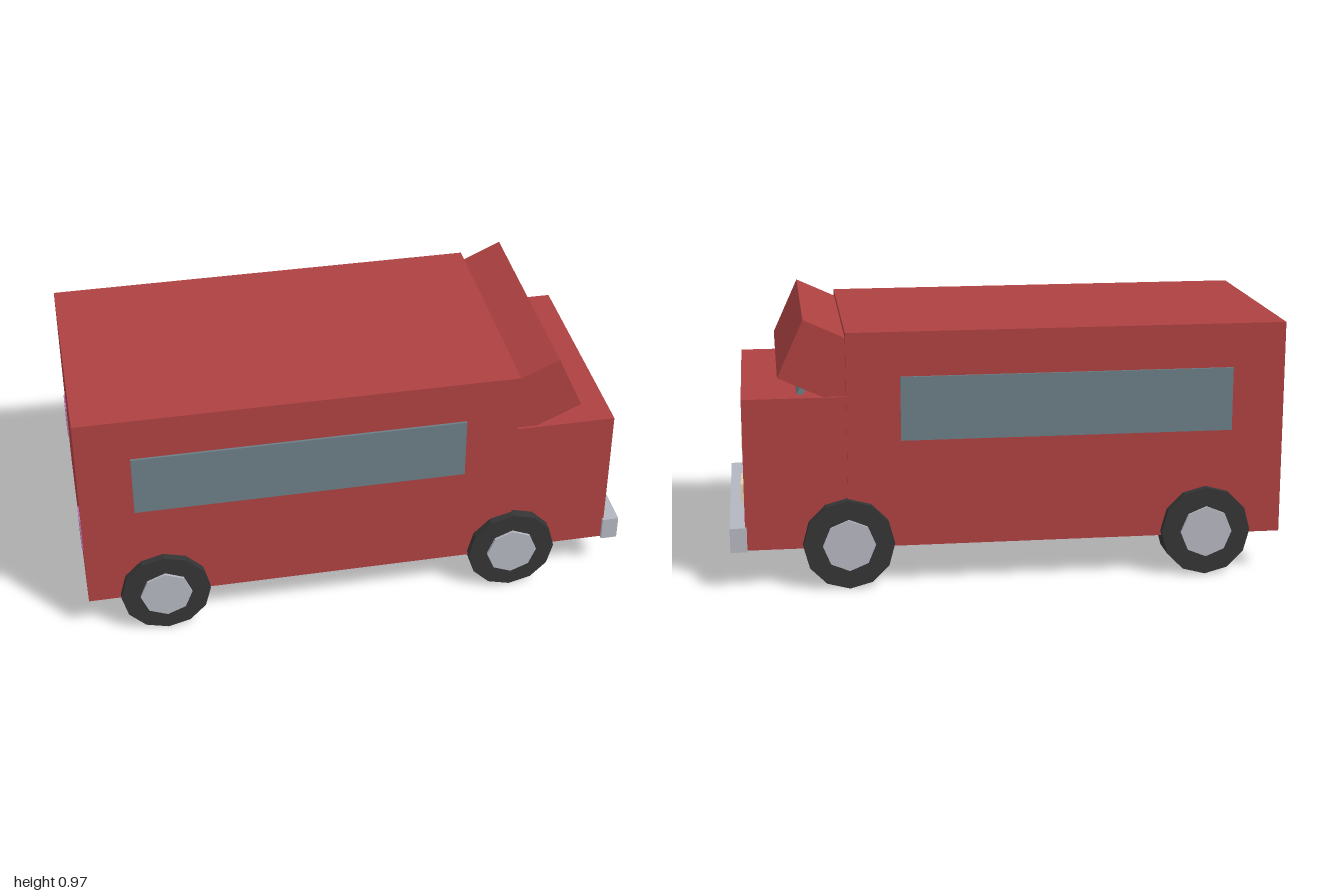
import * as THREE from 'three';

const paint = (name, color) => {
  const m = new THREE.MeshStandardMaterial({ color });
  m.name = name;
  return m;
};

export function createModel() {
  const red = paint('bodyRed', 0xae4141);
  const glass = paint('windowGlass', 0x6b7d86);
  const rubber = paint('tyreRubber', 0x343434);
  const metal = paint('metal', 0xb4b6c0);
  const cream = paint('headlightCream', 0xe0cfa8);
  const mauve = paint('tailLightMauve', 0xb070a8);

  const van = new THREE.Group();
  van.name = 'van';

  // Box given by its extents on each axis
  const box = (name, mat, [x0, x1], [y0, y1], [z0, z1], parent = van) => {
    const mesh = new THREE.Mesh(new THREE.BoxGeometry(x1 - x0, y1 - y0, z1 - z0), mat);
    mesh.position.set((x0 + x1) / 2, (y0 + y1) / 2, (z0 + z1) / 2);
    mesh.name = name;
    parent.add(mesh);
    return mesh;
  };

  // Cargo body, engine hood and bumper
  box('cargoBody', red, [-0.995, 0.58], [0.145, 0.925], [-0.438, 0.438]);
  box('hood', red, [0.57, 0.946], [0.145, 0.695], [-0.427, 0.427]);
  box('bumper', metal, [0.94, 1], [0.143, 0.232], [-0.44, 0.44]);

  // Tilted cab roof with the windshield below it
  const cab = new THREE.Group();
  cab.name = 'cabTop';
  cab.position.set(0.635, 0.806, 0);
  cab.rotation.z = 0.431;
  van.add(cab);
  box('cabRoof', red, [-0.15, 0.15], [-0.112, 0.112], [-0.416, 0.416], cab);
  box('windshield', glass, [0.037, 0.059], [-0.22, -0.1], [-0.368, 0.368], cab);

  // Wheel: faceted tyre and hubcap with the axle along z
  const disc = (name, mat, radius, sides, z0, z1, parent) => {
    const geo = new THREE.CylinderGeometry(radius, radius, z1 - z0, sides).toNonIndexed();
    geo.computeVertexNormals();
    geo.rotateX(Math.PI / 2);
    const mesh = new THREE.Mesh(geo, mat);
    mesh.position.z = (z0 + z1) / 2;
    mesh.name = name;
    parent.add(mesh);
  };

  for (const s of [1, -1]) {
    const side = s > 0 ? 'Front' : 'Back';
    const span = (a, b) => (s > 0 ? [a, b] : [-b, -a]);

    box('sideWindow' + side, glass, [-0.805, 0.39], [0.535, 0.765], span(0.43, 0.447));
    box('headlight' + side, cream, [0.94, 0.956], [0.313, 0.381], span(0.253, 0.393));
    box('tailLight' + side, mauve, [-1, -0.985], [0.35, 0.485], span(0.305, 0.395));

    for (const x of [-0.715, 0.58]) {
      const wheel = new THREE.Group();
      wheel.name = 'wheel' + side + (x > 0 ? 'Fore' : 'Rear');
      wheel.position.set(x, 0.163, 0);
      disc('tyre', rubber, 0.163, 12, ...span(0.35, 0.465), wheel);
      disc('hubcap', metal, 0.094, 8, ...span(0.44, 0.475), wheel);
      van.add(wheel);
    }
  }
  return van;
}
